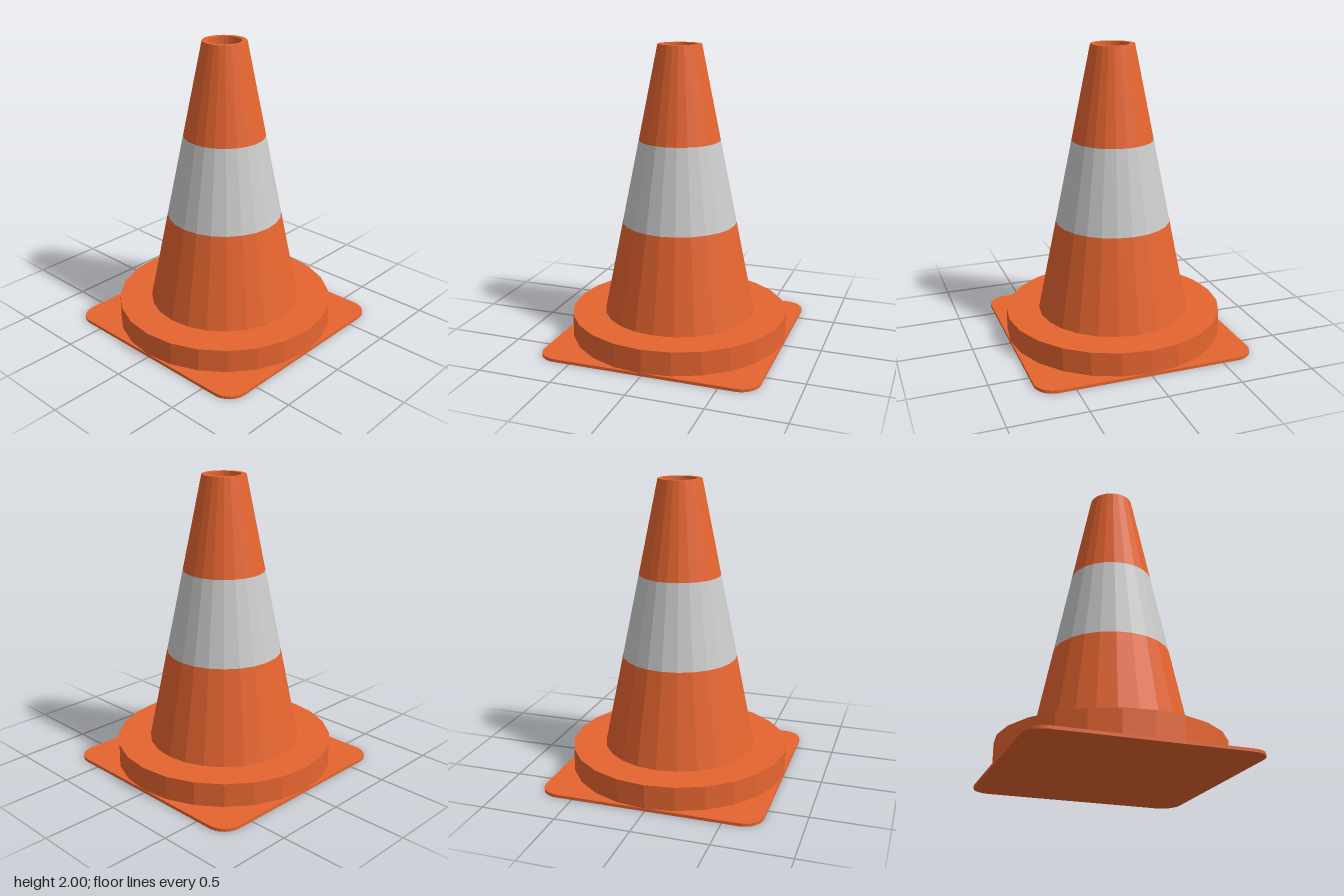
import * as THREE from 'three';

const SEGMENTS = 24;
const BASE_Y = 0.18, TOP_Y = 2, BASE_R = 0.515, TOP_R = 0.145;

const orange = new THREE.MeshStandardMaterial({ color: 0xe66530, flatShading: true });
const grey = new THREE.MeshStandardMaterial({ color: 0xcccccc, flatShading: true });

// Point on the slanted cone side at height y
function sidePoint(y) {
  return [THREE.MathUtils.mapLinear(y, BASE_Y, TOP_Y, BASE_R, TOP_R), y];
}

// Revolve an outline of [radius, height] pairs, listed from the bottom up the outside
function turned(name, outline, material) {
  const points = outline.map(([r, y]) => new THREE.Vector2(r, y));
  const mesh = new THREE.Mesh(new THREE.LatheGeometry(points, SEGMENTS), material);
  mesh.name = name;
  return mesh;
}

// Thin square plate with rounded corners
function makePlate(half, radius, height) {
  const shape = new THREE.Shape();
  const c = half - radius;
  [[c, c], [-c, c], [-c, -c], [c, -c]].forEach(([x, y], i) => {
    shape.absarc(x, y, radius, i * Math.PI / 2, (i + 1) * Math.PI / 2, false);
  });
  const geometry = new THREE.ExtrudeGeometry(shape, { depth: height, bevelEnabled: false, curveSegments: 4 });
  geometry.rotateX(-Math.PI / 2);
  const mesh = new THREE.Mesh(geometry, orange);
  mesh.name = 'basePlate';
  return mesh;
}

export function createModel() {
  const group = new THREE.Group();
  group.name = 'trafficCone';

  group.add(makePlate(0.74, 0.13, 0.02));

  // Round foot on the plate
  group.add(turned('baseRing', [[0.74, 0.02], [0.74, BASE_Y], [0, BASE_Y]], orange));

  // Cone body in three bands, the top one ending in a rim and a shallow recess
  group.add(turned('lowerCone', [sidePoint(BASE_Y), sidePoint(0.81)], orange));
  group.add(turned('reflectiveBand', [sidePoint(0.81), sidePoint(1.37)], grey));
  group.add(turned('upperCone', [
    sidePoint(1.37), sidePoint(TOP_Y), [0.113, TOP_Y], [0.113, TOP_Y - 0.06], [0, TOP_Y - 0.06],
  ], orange));

  return group;
}
